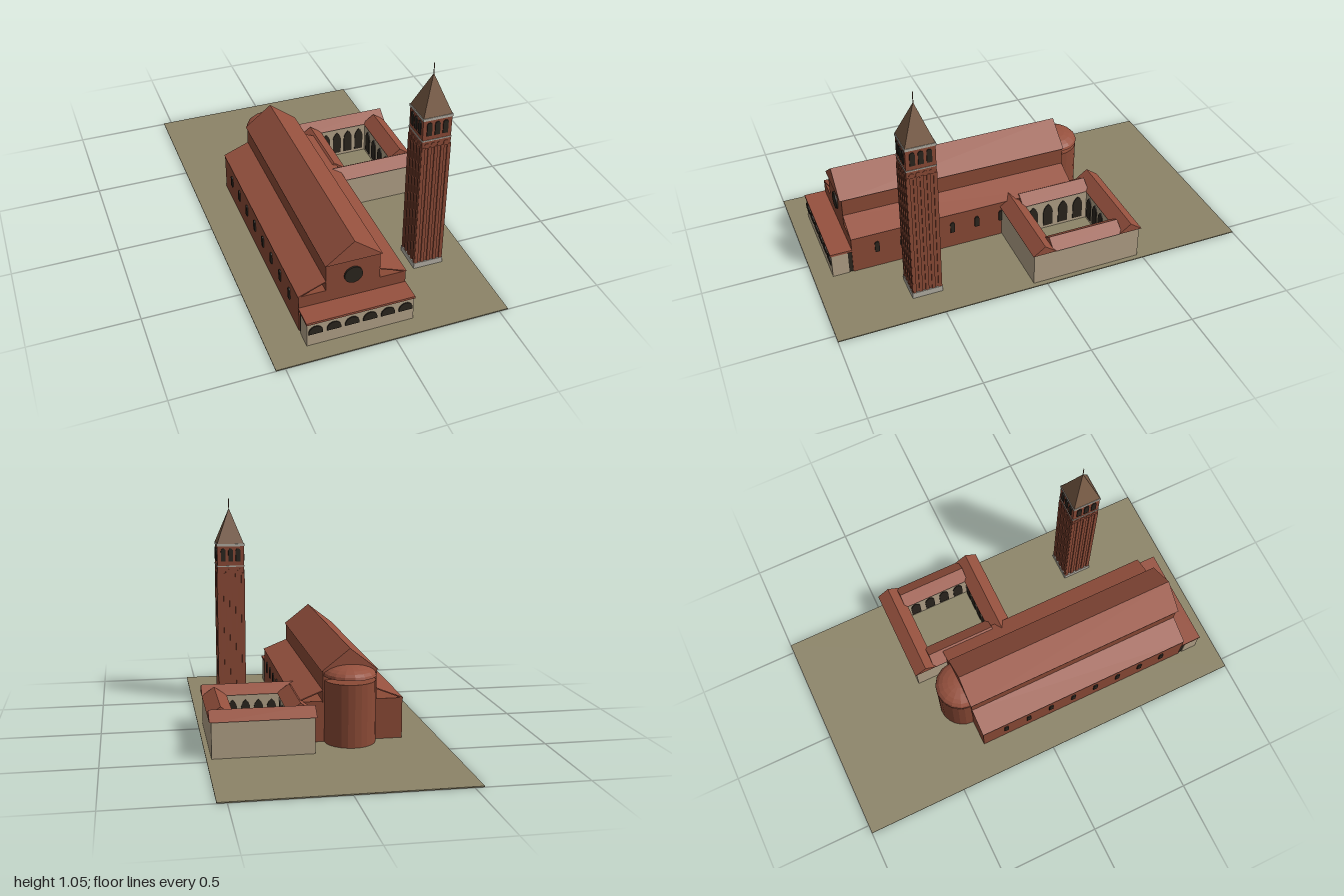
import * as THREE from 'three';

const mat = (color, side = THREE.FrontSide) => new THREE.MeshStandardMaterial({ color, side, flatShading: true });
const BRICK = mat(0x8b4a36), ROOF = mat(0x96513e), STONE = mat(0xb3a288), GROUND = mat(0x8c8468);
const DARK = mat(0x2b251e), TRIM = mat(0xb4afa4), SPIRE = mat(0x7b5d47);

function add(parent, name, geo, material, x = 0, y = 0, z = 0) {
  const m = new THREE.Mesh(geo, material);
  m.name = name;
  m.position.set(x, y, z);
  parent.add(m);
  return m;
}

// Box given by its limits on each axis
function box(parent, name, material, x0, x1, y0, y1, z0, z1) {
  return add(parent, name, new THREE.BoxGeometry(x1 - x0, y1 - y0, z1 - z0), material,
    (x0 + x1) / 2, (y0 + y1) / 2, (z0 + z1) / 2);
}

// Gabled prism; the ridge runs along z, or along x when turned
function gable(parent, name, x, y, z, width, height, length, alongX = false) {
  const s = new THREE.Shape();
  s.moveTo(-width / 2, 0).lineTo(width / 2, 0).lineTo(0, height).closePath();
  const g = new THREE.ExtrudeGeometry(s, { depth: length, bevelEnabled: false });
  g.translate(0, 0, -length / 2);
  if (alongX) g.rotateY(Math.PI / 2);
  return add(parent, name, g, ROOF, x, y, z);
}

// Arched panel standing on y = 0 and facing +z; round or pointed top
function archGeometry(w, h, depth, pointed = false) {
  const s = new THREE.Shape(), r = w / 2;
  s.moveTo(-r, 0).lineTo(r, 0);
  if (pointed) {
    s.lineTo(r, h - w);
    s.quadraticCurveTo(r, h - w * 0.4, 0, h);
    s.quadraticCurveTo(-r, h - w * 0.4, -r, h - w);
  } else {
    s.lineTo(r, h - r);
    s.absarc(0, h - r, r, 0, Math.PI, false);
  }
  s.closePath();
  const g = new THREE.ExtrudeGeometry(s, { depth, bevelEnabled: false, curveSegments: 10 });
  return g.translate(0, 0, -depth / 2);
}

function buildChurch() {
  const g = new THREE.Group();
  g.name = 'church';
  const cx = -0.127;
  box(g, 'aisleWalls', BRICK, -0.375, 0.121, 0, 0.195, -0.31, 0.812);
  box(g, 'naveWalls', BRICK, cx - 0.125, cx + 0.125, 0.19, 0.336, -0.313, 0.812);
  gable(g, 'naveRoof', cx, 0.335, 0.252, 0.262, 0.103, 1.14);

  // Thin lean-to roofs and rows of aisle windows on both flanks
  for (const s of [-1, 1]) {
    const slab = add(g, 'aisleRoof', new THREE.BoxGeometry(0.136, 0.005, 1.125), ROOF, cx + s * 0.187, 0.219, 0.25);
    slab.rotation.z = -s * Math.atan2(0.05, 0.125);
    for (let i = 0; i < 8; i++) {
      const w = add(g, 'aisleWindow', archGeometry(0.022, 0.058, 0.012), DARK, cx + s * 0.248, 0.09, 0.69 - i * 0.125);
      w.rotation.y = Math.PI / 2;
    }
  }

  // Round window on the facade
  const rose = add(g, 'roundWindow', new THREE.CylinderGeometry(0.042, 0.042, 0.012, 32), DARK, cx, 0.252, 0.814);
  rose.rotation.x = Math.PI / 2;

  // Apse drum with a shallow dome above it
  add(g, 'apse', new THREE.CylinderGeometry(0.118, 0.118, 0.295, 24), BRICK, cx, 0.1475, -0.315);
  const dome = add(g, 'apseDome', new THREE.SphereGeometry(0.122, 16, 6, 0, Math.PI * 2, 0, Math.PI / 2),
    mat(0x96513e, THREE.DoubleSide), cx, 0.315, -0.315);
  dome.scale.y = 0.4;

  // Entrance porch
  box(g, 'porchWalls', STONE, -0.374, 0.12, 0, 0.125, 0.832, 0.911);
  box(g, 'porchBack', DARK, -0.37, 0.116, 0, 0.122, 0.81, 0.833);
  box(g, 'porchRoof', ROOF, -0.377, 0.123, 0.123, 0.134, 0.81, 0.916);
  for (let i = 0; i < 6; i++)
    add(g, 'porchArch', archGeometry(0.064, 0.041, 0.01), DARK, cx + (i - 2.5) * 0.083, 0.067, 0.911);
  return g;
}

function buildTower() {
  const g = new THREE.Group();
  g.name = 'bellTower';
  g.position.set(0.333, 0, 0.54);
  const block = (name, material, w, y0, y1) => box(g, name, material, -w / 2, w / 2, y0, y1, -w / 2, w / 2);
  block('towerBase', TRIM, 0.145, 0, 0.033);
  block('towerShaft', BRICK, 0.132, 0.033, 0.708);
  block('shaftHead', BRICK, 0.137, 0.675, 0.708);
  block('stringCourse', TRIM, 0.141, 0.708, 0.714);
  block('belfry', BRICK, 0.136, 0.714, 0.814);
  block('cornice', TRIM, 0.141, 0.813, 0.826);

  // Pilasters, small arches and bell openings repeat on all four sides
  for (let k = 0; k < 4; k++) {
    const side = new THREE.Group();
    side.name = 'towerSide';
    side.rotation.y = k * Math.PI / 2;
    g.add(side);
    for (let i = 0; i < 5; i++) {
      const x = (i - 2) * 0.0305;
      box(side, 'pilaster', BRICK, x - 0.008, x + 0.008, 0.033, 0.676, 0.06, 0.071);
    }
    for (let i = 0; i < 4; i++)
      add(side, 'smallArch', archGeometry(0.022, 0.025, 0.006), BRICK, (i - 1.5) * 0.0305, 0.672, 0.0675);
    for (let i = -1; i <= 1; i++)
      add(side, 'bellOpening', archGeometry(0.024, 0.066, 0.008), DARK, i * 0.038, 0.736, 0.068);
  }

  // Pyramid spire and finial
  const spire = new THREE.ConeGeometry(0.068 * Math.SQRT2, 0.176, 4).rotateY(Math.PI / 4);
  add(g, 'spire', spire, SPIRE, 0, 0.914, 0);
  add(g, 'finial', new THREE.CylinderGeometry(0.002, 0.002, 0.055, 8), SPIRE, 0, 1.0245, 0);
  return g;
}

function buildCloister() {
  const g = new THREE.Group();
  g.name = 'cloister';
  g.position.set(0.29, 0, -0.209);
  const hx = 0.229, hz = 0.269, d = 0.1, h = 0.17;

  for (const s of [-1, 1]) {
    // Front and back wings run full width, side wings fit between them
    const zc = s * (hz - d / 2), xc = s * (hx - d / 2);
    box(g, 'crossWing', STONE, -hx, hx, 0, h, zc - d / 2, zc + d / 2);
    box(g, 'sideWing', STONE, xc - d / 2, xc + d / 2, 0, h, -hz + d, hz - d);
    gable(g, 'crossRoof', 0, h, s * 0.219, 0.117, 0.043, 0.475, true);
    gable(g, 'sideRoof', s * 0.179, h, 0, 0.117, 0.042, 0.35);

    // Pointed arcade around the courtyard
    for (let i = 0; i < 4; i++) {
      add(g, 'courtArch', archGeometry(0.044, 0.125, 0.008, true), DARK, (i - 1.5) * 0.062, 0.02, s * (hz - d));
      const a = add(g, 'courtArch', archGeometry(0.05, 0.125, 0.008, true), DARK, s * (hx - d), 0.02, (i - 1.5) * 0.08);
      a.rotation.y = Math.PI / 2;
    }
  }
  return g;
}

export function createModel() {
  const model = new THREE.Group();
  model.name = 'basilica';
  box(model, 'ground', GROUND, -0.542, 0.542, 0, 0.005, -1, 1);
  // Buildings stand on the ground slab
  model.add(buildChurch(), buildTower(), buildCloister());
  for (const b of model.children.slice(1)) b.position.y = 0.001;
  return model;
}
